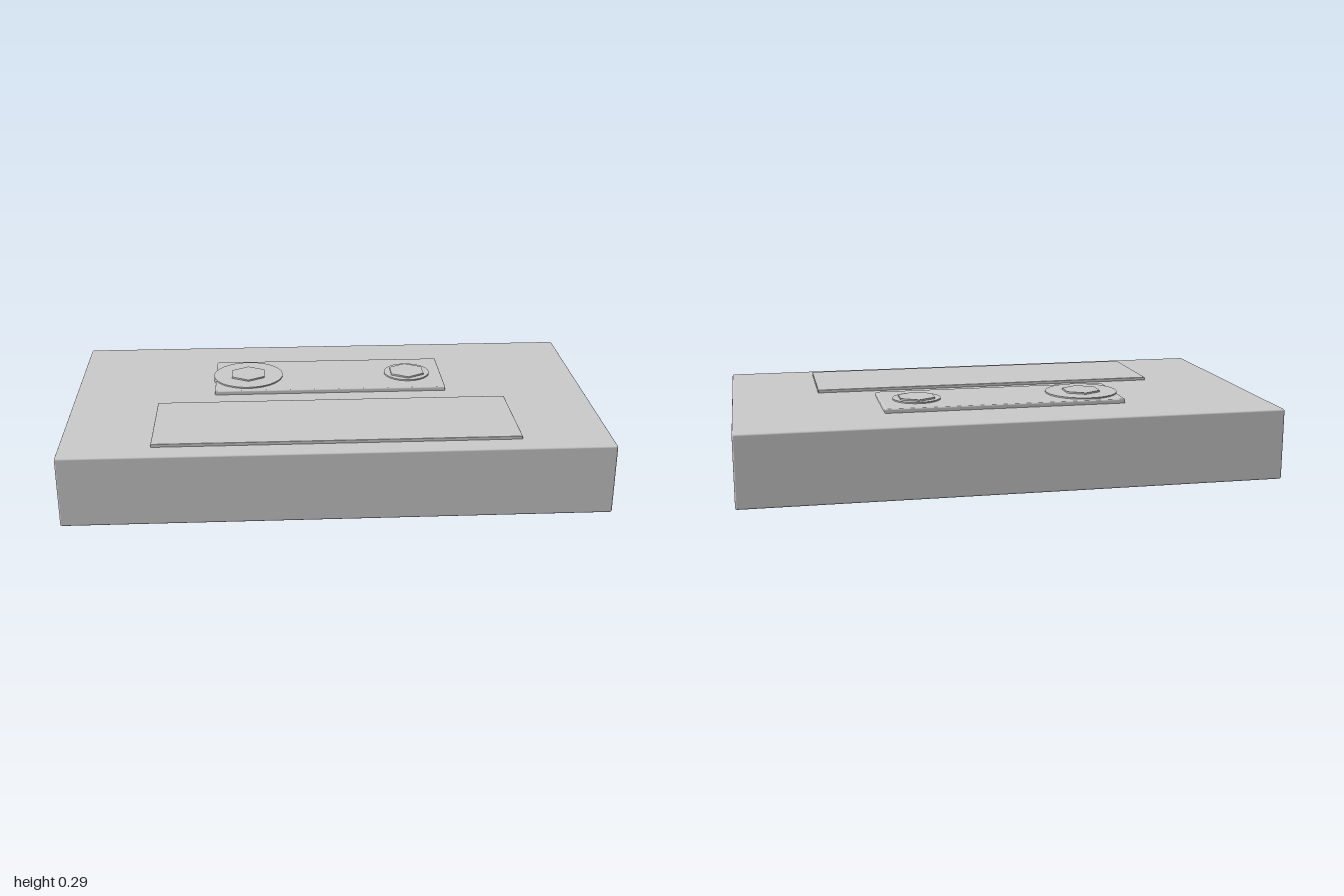
import * as THREE from 'three';
import { RoundedBoxGeometry } from 'three/addons/geometries/RoundedBoxGeometry.js';

const grey = new THREE.MeshStandardMaterial({ color: 0xcccccc });

export function createModel() {
  const model = new THREE.Group();

  const add = (name, geometry, x, y, z) => {
    const mesh = new THREE.Mesh(geometry, grey);
    mesh.name = name;
    mesh.position.set(x, y, z);
    model.add(mesh);
  };
  // Softened slab standing between two heights
  const slab = (name, w, d, y0, y1, z, r) =>
    add(name, new RoundedBoxGeometry(w, y1 - y0, d, 2, r), 0, (y0 + y1) / 2, z);
  // Round or faceted disc between two heights
  const disc = (name, r, sides, y0, y1, x, z) =>
    add(name, new THREE.CylinderGeometry(r, r, y1 - y0, sides), x, (y0 + y1) / 2, z);

  // Case
  slab('body', 2, 1.1, 0, 0.267, 0, 0.007);

  // Raised panels on top
  slab('labelPanel', 1.34, 0.384, 0.255, 0.279, 0.278, 0.003);
  slab('windowPanel', 0.91, 0.32, 0.255, 0.283, -0.17, 0.005);

  // Reels: a wide one and a narrow one, each with a hexagonal hub
  for (const [side, x, r] of [['right', -0.325, 0.138], ['left', 0.317, 0.091]]) {
    disc(side + 'Reel', r, 48, 0.27, 0.288, x, -0.17);
    disc(side + 'Hub', 0.075, 6, 0.28, 0.294, x, -0.17);
  }

  return model;
}
